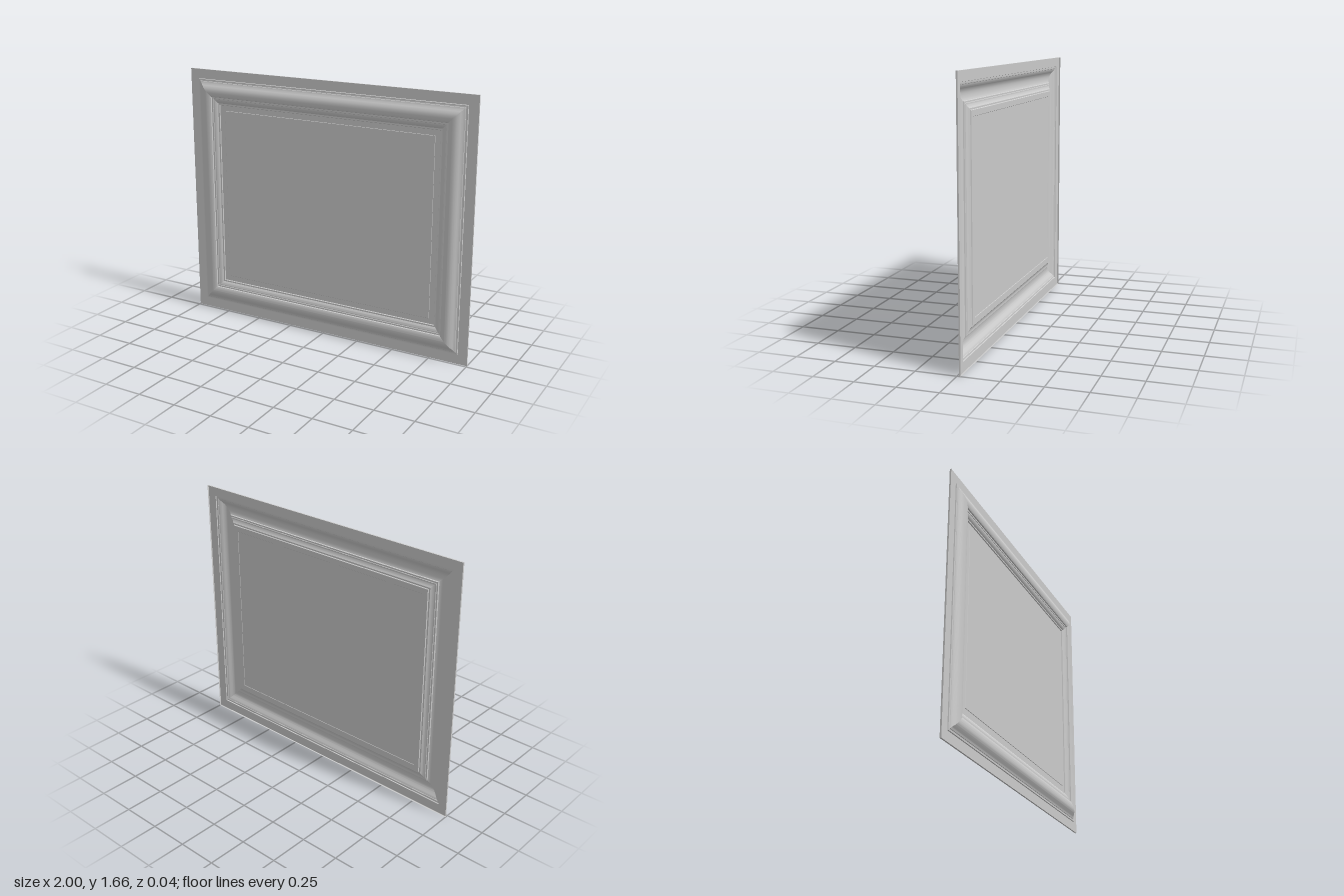
import * as THREE from 'three';
import { mergeGeometries, toCreasedNormals } from 'three/addons/utils/BufferGeometryUtils.js';

const HALF_W = 1, HALF_H = 0.8325;

// Corners of the rectangle set in by d at depth z, anticlockwise from bottom left
const ring = ([d, z]) => [[-1, -1], [1, -1], [1, 1], [-1, 1]].map(
  ([sx, sy]) => [sx * (HALF_W - d), HALF_H + sy * (HALF_H - d), z]);

// Mitred pressed-sheet border: sweeps a profile of [inset, z] points around four sides
function mitredBorder(profile) {
  const rings = profile.map(ring);
  const sides = [0, 1, 2, 3].map((s) => {
    const n = (s + 1) % 4, pos = [];
    for (let i = 0; i < rings.length - 1; i++) {
      const a = rings[i][s], b = rings[i][n], c = rings[i + 1][n], d = rings[i + 1][s];
      pos.push(...a, ...b, ...c, ...a, ...c, ...d);
    }
    const g = new THREE.BufferGeometry();
    g.setAttribute('position', new THREE.Float32BufferAttribute(pos, 3));
    return toCreasedNormals(g, 0.6);
  });
  return mergeGeometries(sides);
}

// Samples a smooth curve through [inset, z] points
const smooth = (pts, n) => new THREE.SplineCurve(pts.map((p) => new THREE.Vector2(...p)))
  .getPoints(n).map((v) => [v.x, v.y]);

export function createModel() {
  const model = new THREE.Group();
  model.name = 'framedPanel';
  const material = new THREE.MeshStandardMaterial({ color: 0xcccccc, side: THREE.DoubleSide });
  const add = (name, geometry) => {
    const mesh = new THREE.Mesh(geometry, material);
    mesh.name = name;
    model.add(mesh);
    return mesh;
  };

  // Flat outer flange with a short lip turned backwards
  add('outerFlange', mitredBorder([[0, -0.022], [0, -0.012], [0.062, -0.012]]));

  // Small fillet step, then the cove and rounded crown of the moulding
  add('moulding', mitredBorder([
    [0.062, -0.012], [0.064, -0.006], [0.076, -0.006],
    ...smooth([[0.078, -0.003], [0.092, 0.003], [0.106, 0.013], [0.122, 0.02],
      [0.14, 0.022], [0.158, 0.02], [0.17, 0.016]], 20),
  ]));

  // Stepped bead falling to the panel
  add('innerBead', mitredBorder([
    [0.17, 0.016], [0.173, 0.009], [0.182, 0.009],
    ...smooth([[0.184, 0.006], [0.194, 0.005], [0.205, 0.0], [0.213, -0.006]], 8),
    [0.222, -0.006], [0.225, -0.012],
  ]));

  // Flat margin with a fine step around the field
  add('panelMargin', mitredBorder([[0.225, -0.012], [0.259, -0.012], [0.261, -0.01]]));

  // Central field
  const field = add('centrePanel', new THREE.PlaneGeometry(2 * (HALF_W - 0.261), 2 * (HALF_H - 0.261)));
  field.position.set(0, HALF_H, -0.01);

  return model;
}
